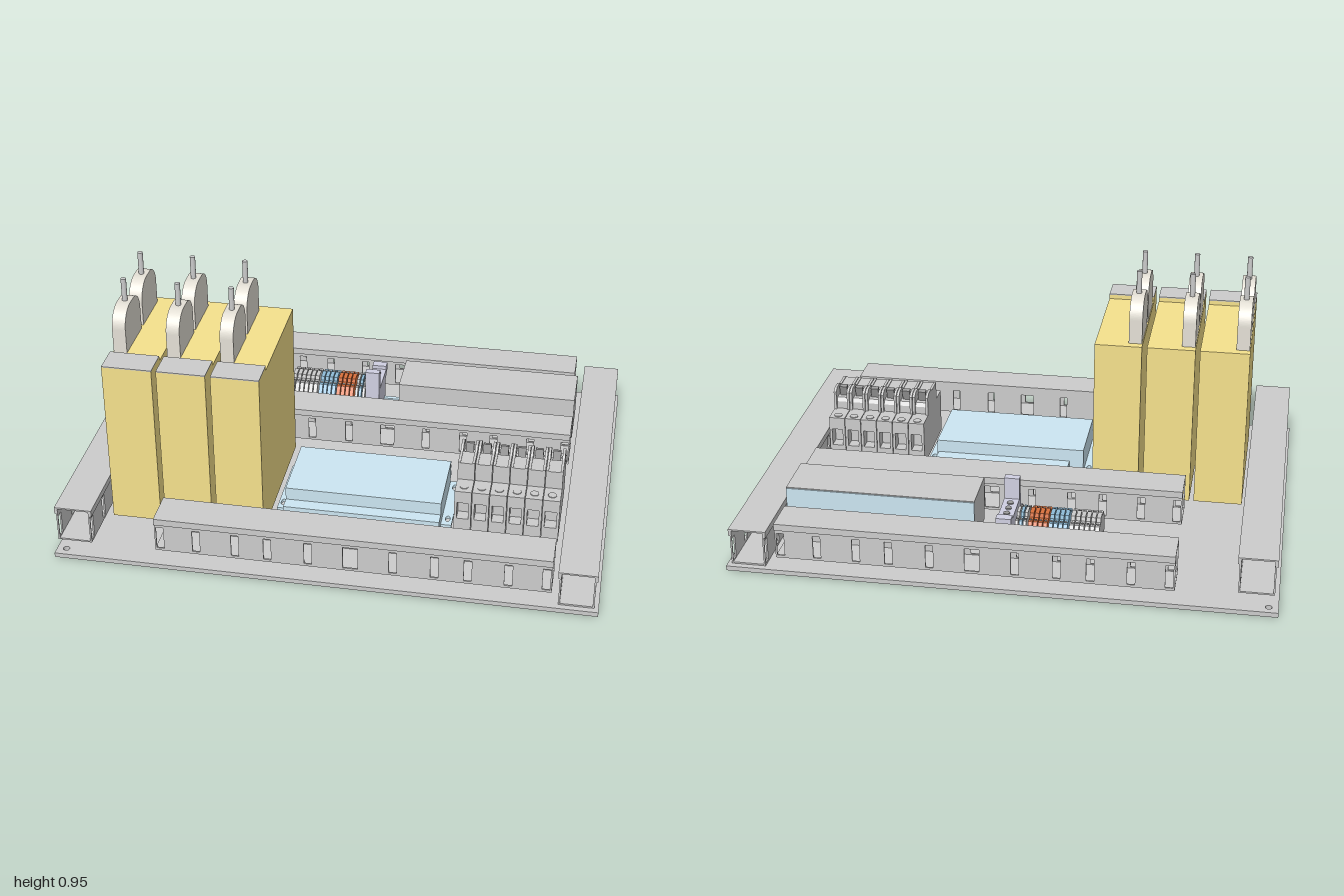
import * as THREE from 'three';

const mat = (color) => new THREE.MeshStandardMaterial({ color });
const grey = mat(0xcccccc), yellow = mat(0xf5e18c), blue = mat(0xcce6f2), cream = mat(0xe4e0d6);
const terminalBlue = mat(0x8fbcd8), orange = mat(0xd9703c), lavender = mat(0xd0d0e2), dark = mat(0x9a9a9a);

function add(parent, name, geometry, material) {
  const mesh = new THREE.Mesh(geometry, material);
  mesh.name = name;
  parent.add(mesh);
  return mesh;
}

// Box given by its limits on each axis
function box(parent, name, [x0, x1], [y0, y1], [z0, z1], material = grey) {
  const g = new THREE.BoxGeometry(x1 - x0, y1 - y0, z1 - z0);
  g.translate((x0 + x1) / 2, (y0 + y1) / 2, (z0 + z1) / 2);
  return add(parent, name, g, material);
}

// Side profile of (z, y) points, extruded from x0 to x1
function profile(parent, name, shape, x0, x1, material = grey) {
  const s = Array.isArray(shape) ? new THREE.Shape(shape.map(([z, y]) => new THREE.Vector2(z, y))) : shape;
  const g = new THREE.ExtrudeGeometry(s, { depth: x1 - x0, bevelEnabled: false, curveSegments: 12 });
  g.rotateY(-Math.PI / 2).translate(x1, 0, 0);
  return add(parent, name, g, material);
}

function disc(parent, name, r, h, x, y, z, material = grey, sides = 16) {
  const mesh = add(parent, name, new THREE.CylinderGeometry(r, r, h, sides), material);
  mesh.position.set(x, y + h / 2, z);
  return mesh;
}

function rectShape(x0, x1, y0, y1, Type = THREE.Shape) {
  return new Type([[x0, y0], [x1, y0], [x1, y1], [x0, y1]].map(([x, y]) => new THREE.Vector2(x, y)));
}

// Mounting plate with a hole in each corner
function basePlate(root) {
  const s = rectShape(-1, 1, -0.745, 0.745);
  for (const x of [-0.965, 0.965]) for (const z of [-0.71, 0.71]) {
    const hole = new THREE.Path();
    hole.absarc(x, z, 0.012, 0, Math.PI * 2, true);
    s.holes.push(hole);
  }
  const g = new THREE.ExtrudeGeometry(s, { depth: 0.018, bevelEnabled: false });
  g.rotateX(-Math.PI / 2);
  add(root, 'mountingPlate', g, grey);
}

// Hollow wiring duct along x: floor, two slotted walls and a lid with lips
function duct(root, name, x, y, z, turned) {
  const group = new THREE.Group();
  const L = 0.725, W = 0.07, H = 0.14, t = 0.006;
  box(group, 'ductFloor', [-L, L], [0, t], [-W + t, W - t]);
  box(group, 'ductLid', [-L, L], [H - t, H], [-W, W]);
  const wall = rectShape(-L, L, 0, H - t);
  for (const c of [-0.705, -0.57, -0.425, -0.305, -0.155, 0, 0.155, 0.305, 0.425, 0.57, 0.705]) {
    const w = c === 0 ? 0.027 : 0.014;
    wall.holes.push(rectShape(c - w, c + w, 0.01, 0.1, THREE.Path));
  }
  const g = new THREE.ExtrudeGeometry(wall, { depth: t, bevelEnabled: false });
  for (const side of [-1, 1]) {
    add(group, 'ductWall', g, grey).position.z = side > 0 ? W - 2 * t : -W + t;
    const zl = side * (W - t / 2);
    box(group, 'lidLip', [-L, L], [H - 0.026, H - t], [zl - t / 2, zl + t / 2]);
  }
  group.name = name;
  group.position.set(x, y, z);
  if (turned) group.rotation.y = Math.PI / 2;
  root.add(group);
}

// Tall drive unit with two upright rounded tabs and pins
function driveUnit(root, x0, x1) {
  const group = new THREE.Group();
  group.name = 'driveUnit';
  profile(group, 'driveBody',
    [[-0.05, 0.06], [0.53, 0.06], [0.53, 0.706], [0.42, 0.706], [0.42, 0.69], [-0.05, 0.69]], x0, x1, yellow);
  box(group, 'driveCap', [x0, x1], [0.706, 0.71], [0.42, 0.53]);
  for (const z of [0.077, 0.292]) {
    const r = 0.075, w = 0.095, top = 0.858;
    const s = new THREE.Shape();
    s.moveTo(z - w, 0.69);
    s.lineTo(z + w, 0.69);
    s.lineTo(z + w, top - r);
    s.absarc(z + w - r, top - r, r, 0, Math.PI / 2);
    s.lineTo(z - w + r, top);
    s.absarc(z - w + r, top - r, r, Math.PI / 2, Math.PI);
    profile(group, 'roundedTab', s, x0 + 0.003, x0 + 0.053, cream);
    disc(group, 'pin', 0.01, 0.09, x0 + 0.028, 0.856, z);
  }
  root.add(group);
}

// Stepped controller box on a flange with mounting slots
function controller(root) {
  const group = new THREE.Group();
  group.name = 'controller';
  const flange = rectShape(-0.235, 0.43, -0.39, -0.1);
  for (const x of [-0.218, 0.412]) for (const z of [0.14, 0.35]) {
    const hole = new THREE.Path();
    hole.absellipse(x, -z, 0.009, 0.018, 0, Math.PI * 2, true);
    flange.holes.push(hole);
  }
  const g = new THREE.ExtrudeGeometry(flange, { depth: 0.012, bevelEnabled: false });
  g.rotateX(-Math.PI / 2).translate(0, 0.06, 0);
  add(group, 'flange', g, blue);
  box(group, 'controllerBody', [-0.2, 0.39], [0.06, 0.165], [0.1, 0.39], blue);
  box(group, 'rearStep', [-0.145, 0.385], [0.06, 0.115], [0.05, 0.1], blue);
  box(group, 'frontStep', [-0.2, 0.39], [0.06, 0.115], [0.39, 0.44], blue);
  for (const z of [[0.03, 0.05], [0.44, 0.46]]) box(group, 'tab', [0.365, 0.385], [0.06, 0.075], z, blue);
  root.add(group);
}

// Row of circuit breakers: full cheeks with a notched core between them
function breakers(root) {
  const cheek = [[0.082, 0.06], [0.407, 0.06], [0.407, 0.24], [0.325, 0.24], [0.325, 0.315], [0.245, 0.315],
    [0.225, 0.328], [0.185, 0.328], [0.165, 0.315], [0.165, 0.24], [0.082, 0.24]];
  const core = [[0.082, 0.06], [0.407, 0.06], [0.407, 0.12], [0.36, 0.12], [0.36, 0.19], [0.407, 0.19],
    [0.407, 0.24], [0.325, 0.24], [0.325, 0.312], [0.245, 0.312], [0.235, 0.285], [0.185, 0.285],
    [0.175, 0.27], [0.175, 0.24], [0.082, 0.24], [0.082, 0.19], [0.13, 0.19], [0.13, 0.12], [0.082, 0.12]];
  const pitch = 0.39 / 6;
  for (let i = 0; i < 6; i++) {
    const group = new THREE.Group();
    group.name = 'circuitBreaker';
    const x0 = 0.44 + i * pitch, x1 = x0 + pitch - 0.002, xm = (x0 + x1) / 2;
    profile(group, 'breakerCheek', cheek, x0, x0 + 0.01);
    profile(group, 'breakerCheek', cheek, x1 - 0.01, x1);
    profile(group, 'breakerCore', core, x0 + 0.01, x1 - 0.01);
    const toggle = box(group, 'toggle', [-0.015, 0.015], [0, 0.045], [-0.009, 0.009], dark);
    toggle.position.set(xm, 0.285, 0.215);
    toggle.rotation.x = -0.25;
    for (const z of [0.108, 0.372]) disc(group, 'terminalScrew', 0.016, 0.004, xm, 0.239, z);
    root.add(group);
  }
}

// Rail carrying terminal blocks, an end clamp and the power supply
function railAssembly(root) {
  const group = new THREE.Group();
  group.name = 'railAssembly';
  box(group, 'railFloor', [-0.34, 0.39], [0.04, 0.047], [-0.47, -0.4], blue);
  for (const z of [-0.47, -0.4]) box(group, 'railWeb', [-0.34, 0.39], [0.04, 0.07], [z - 0.003, z + 0.003], blue);
  box(group, 'railFlange', [-0.34, 0.39], [0.064, 0.07], [-0.485, -0.47], blue);
  box(group, 'railFlange', [-0.34, 0.39], [0.064, 0.07], [-0.4, -0.385], blue);

  const block = [[-0.525, 0.06], [-0.35, 0.06], [-0.35, 0.13], [-0.375, 0.165], [-0.41, 0.165], [-0.415, 0.18],
    [-0.46, 0.18], [-0.465, 0.165], [-0.5, 0.165], [-0.525, 0.13]];
  const runs = [[-0.34, 6, 0.019, grey], [-0.222, 4, 0.018, terminalBlue], [-0.148, 4, 0.0185, orange],
    [-0.07, 1, 0.014, grey], [-0.055, 1, 0.014, terminalBlue], [-0.04, 1, 0.014, grey]];
  for (const [start, count, pitch, material] of runs) {
    for (let i = 0; i < count; i++) {
      const x = start + i * pitch;
      profile(group, 'terminalBlock', block, x, x + pitch - 0.003, material);
      for (const z of [-0.485, -0.392]) disc(group, 'terminalScrew', 0.005, 0.004, x + pitch / 2 - 0.0015, 0.164, z, dark, 8);
    }
  }
  const clamp = [[-0.5, 0.04], [-0.285, 0.04], [-0.285, 0.12], [-0.335, 0.14], [-0.335, 0.265], [-0.365, 0.265],
    [-0.365, 0.18], [-0.515, 0.18], [-0.515, 0.195], [-0.55, 0.195], [-0.55, 0.165], [-0.5, 0.14]];
  profile(group, 'endClamp', clamp, -0.022, 0.035, lavender);
  for (const z of [-0.4, -0.44, -0.48]) disc(group, 'clampScrew', 0.012, 0.006, 0.006, 0.179, z, dark);

  box(group, 'powerSupply', [0.12, 0.83], [0.06, 0.235], [-0.511, -0.315]);
  box(group, 'powerSupplyRear', [0.12, 0.83], [0.06, 0.232], [-0.515, -0.511], blue);
  root.add(group);
}

export function createModel() {
  const root = new THREE.Group();
  root.name = 'controlPanel';
  basePlate(root);
  duct(root, 'rightSideDuct', -0.92, 0.073, 0.005, true);
  duct(root, 'leftSideDuct', 0.92, 0.02, 0, true);
  duct(root, 'frontDuct', 0.105, 0.06, 0.65, false);
  duct(root, 'middleDuct', 0.105, 0.06, -0.18, false);
  duct(root, 'rearDuct', 0.09, 0.06, -0.66, false);
  for (const [x0, x1] of [[-0.835, -0.65], [-0.633, -0.452], [-0.433, -0.255]]) driveUnit(root, x0, x1);
  controller(root);
  breakers(root);
  railAssembly(root);
  return root;
}
